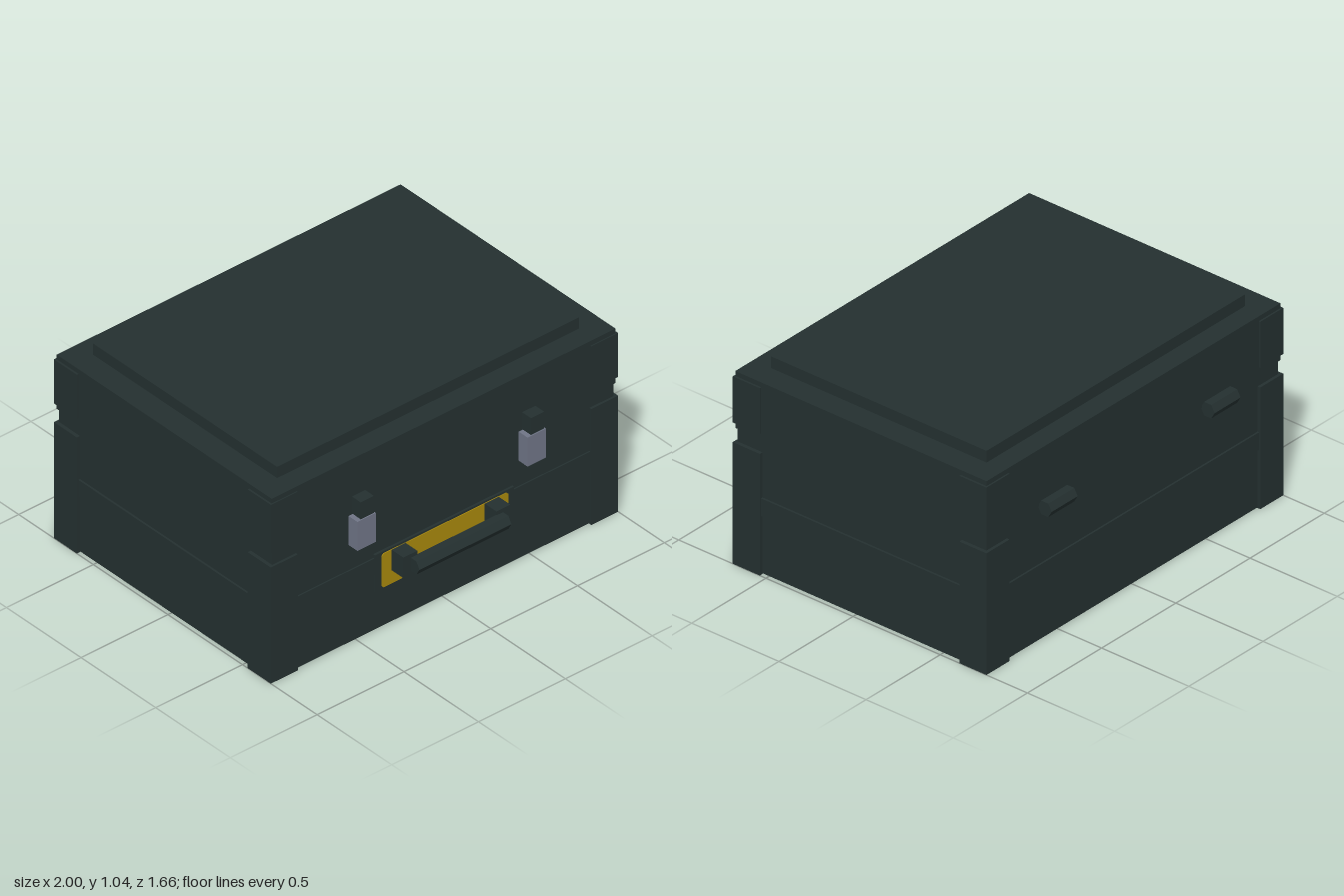
import * as THREE from 'three';

export function createModel() {
  const model = new THREE.Group();
  model.name = 'equipmentCase';
  const mat = (name, color) => {
    const m = new THREE.MeshStandardMaterial({ color });
    m.name = name;
    return m;
  };
  const shell = mat('darkShell', 0x243030);
  const metal = mat('greyMetal', 0x6f7586);
  const yellow = mat('yellowLabel', 0xa8880c);

  const add = (name, geometry, material) => {
    const mesh = new THREE.Mesh(geometry, material);
    mesh.name = name;
    model.add(mesh);
    return mesh;
  };
  // Box given by its limits on each axis
  const box = (name, material, x0, x1, y0, y1, z0, z1) => {
    const mesh = add(name, new THREE.BoxGeometry(x1 - x0, y1 - y0, z1 - z0), material);
    mesh.position.set((x0 + x1) / 2, (y0 + y1) / 2, (z0 + z1) / 2);
    return mesh;
  };
  // Hexagonal rod along x, with its points facing front and back
  const hexRod = (name, x, y, z, length) => {
    const g = new THREE.CylinderGeometry(0.04, 0.04, length, 6).toNonIndexed();
    g.rotateZ(Math.PI / 2);
    g.computeVertexNormals();
    add(name, g, shell).position.set(x, y, z);
  };

  // Base, lid and raised top panel
  box('base', shell, -0.982, 0.982, 0.004, 0.69, -0.75, 0.678);
  box('lid', shell, -0.99, 0.99, 0.69, 0.98, -0.757, 0.684);
  box('topPanel', shell, -0.87, 0.87, 0.98, 1.04, -0.655, 0.58);

  // Raised belt around the base
  box('belt', shell, -0.992, 0.992, 0.3, 0.39, -0.759, 0.685);

  // Corner guards, on base and lid
  for (const s of [-1, 1]) {
    const x0 = s > 0 ? 0.845 : -1;
    for (const [z0, z1] of [[-0.765, -0.61], [0.535, 0.69]]) {
      box('baseCorner', shell, x0, x0 + 0.155, 0, 0.62, z0, z1);
      box('lidCorner', shell, x0, x0 + 0.155, 0.72, 0.955, z0, z1);
    }
  }

  // Front plate with the yellow label
  box('labelPlate', shell, -0.4, 0.4, 0.21, 0.41, 0.67, 0.69);
  const w = 0.364, h = 0.09, c = 0.01;
  const labelShape = new THREE.Shape([
    [-w + c, -h], [w - c, -h], [w, -h + c], [w, h - c],
    [w - c, h], [-w + c, h], [-w, h - c], [-w, -h + c],
  ].map(([x, y]) => new THREE.Vector2(x, y)));
  add('label', new THREE.ExtrudeGeometry(labelShape, { depth: 0.005, bevelEnabled: false }), yellow)
    .position.set(0, 0.31, 0.689);

  // Carrying handle
  for (const s of [-1, 1]) {
    const x = s * 0.268;
    box('handleBracket', shell, x - 0.04, x + 0.04, 0.29, 0.4, 0.68, 0.773);
  }
  hexRod('handleBar', 0, 0.345, 0.79, 0.53);

  // Latches on the front and hinges on the back
  for (const s of [-1, 1]) {
    const x = s * 0.49;
    box('latchCatch', shell, x - 0.038, x + 0.038, 0.69, 0.78, 0.68, 0.743);
    box('latchPlate', metal, x - 0.053, x + 0.053, 0.525, 0.68, 0.675, 0.738);
    hexRod('hinge', s * 0.549, 0.69, -0.79, 0.175);
  }
  return model;
}
